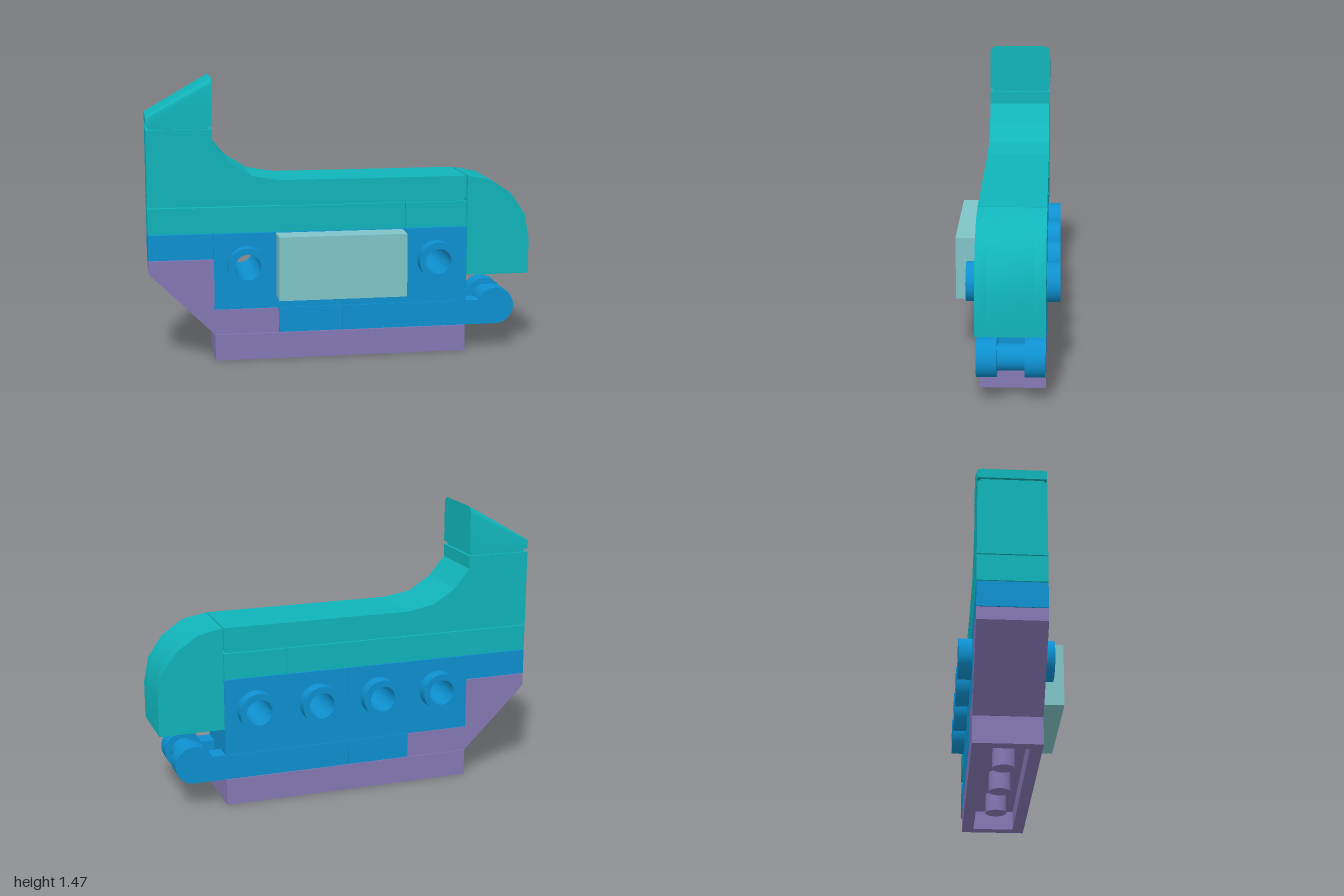
import * as THREE from 'three';
import { toCreasedNormals } from 'three/addons/utils/BufferGeometryUtils.js';

const Z0 = -0.2, Z1 = 0.133;          // back and front of the body
const mats = {
  teal: new THREE.MeshStandardMaterial({ color: 0x10b4ba }),
  blue: new THREE.MeshStandardMaterial({ color: 0x0d90d0 }),
  purple: new THREE.MeshStandardMaterial({ color: 0x8478b4 }),
  pale: new THREE.MeshStandardMaterial({ color: 0x7fc4c8 }),
};

export function createModel() {
  const model = new THREE.Group();

  const add = (name, geo, mat) => {
    const mesh = new THREE.Mesh(geo, mats[mat]);
    mesh.name = name;
    model.add(mesh);
    return mesh;
  };
  const box = (name, mat, x0, x1, y0, y1, z0 = Z0, z1 = Z1) => add(name,
    new THREE.BoxGeometry(x1 - x0, y1 - y0, z1 - z0)
      .translate((x0 + x1) / 2, (y0 + y1) / 2, (z0 + z1) / 2), mat);
  const shapeOf = pts => new THREE.Shape(pts.map(p => new THREE.Vector2(...p)));
  const extrude = (shape, z0 = Z0, z1 = Z1) =>
    new THREE.ExtrudeGeometry(shape, { depth: z1 - z0, bevelEnabled: false, curveSegments: 24 })
      .translate(0, 0, z0);
  const circleHole = (x, y, r) => new THREE.Path().absarc(x, y, r, 0, Math.PI * 2, true);
  const smooth = geo => toCreasedNormals(geo, 0.5);
  const rod = (name, mat, x, y, r, z0, z1) => add(name,
    new THREE.CylinderGeometry(r, r, z1 - z0, 32).rotateX(Math.PI / 2)
      .translate(x, y, (z0 + z1) / 2), mat);

  // Base plate, hollow underneath with three pins
  const rim = shapeOf([[-0.665, -Z1], [0.66, -Z1], [0.66, -Z0], [-0.665, -Z0]]);
  rim.holes.push(new THREE.Path([[-0.605, -0.073], [-0.605, 0.14], [0.6, 0.14], [0.6, -0.073]]
    .map(p => new THREE.Vector2(...p))));
  add('basePlateRim', extrude(rim, 0, 0.1).rotateX(-Math.PI / 2), 'purple');
  box('basePlateTop', 'purple', -0.665, 0.66, 0.1, 0.137);
  for (const x of [-0.333, 0, 0.333]) {
    add('basePin', new THREE.CylinderGeometry(0.055, 0.055, 0.1, 24)
      .translate(x, 0.052, (Z0 + Z1) / 2), 'purple');
  }

  // Inverted slope at the tail
  add('invertedSlope', extrude(shapeOf([[-1, 0.535], [-1, 0.47], [-0.667, 0.14],
    [-0.335, 0.14], [-0.335, 0.27], [-0.667, 0.27], [-0.667, 0.535]])), 'purple');
  box('tailPlate', 'blue', -1, -0.669, 0.538, 0.668);

  // Lower plates and the handle held by two round arms
  box('lowerPlate', 'blue', -0.333, -0.002, 0.14, 0.27);
  box('handlePlate', 'blue', 0.001, 0.66, 0.14, 0.27);
  const arm = new THREE.Shape();
  arm.moveTo(0.65, 0.14);
  arm.lineTo(0.825, 0.14);
  arm.absarc(0.825, 0.237, 0.098, -Math.PI / 2, Math.PI * 0.885, false);
  arm.lineTo(0.65, 0.272);
  for (const [z0, z1] of [[0.035, Z1], [Z0, -0.1]]) {
    add('handleArm', smooth(extrude(arm, z0, z1)), 'blue');
  }
  rod('handleBar', 'blue', 0.825, 0.237, 0.066, -0.11, 0.045);

  // Two middle bricks with holes through their side studs
  const holeR = 0.067, studY = 0.502;
  for (const side of [-1, 1]) {
    const xs = [side * 0.166, side * 0.498];
    const x0 = side < 0 ? -0.667 : 0.001, x1 = side < 0 ? -0.001 : 0.662;
    const brick = shapeOf([[x0, 0.272], [x1, 0.272], [x1, 0.668], [x0, 0.668]]);
    xs.forEach(x => brick.holes.push(circleHole(x, studY, holeR)));
    add('studBrick', smooth(extrude(brick)), 'blue');
    const stud = (name, x, z0, z1) => {
      const ring = new THREE.Shape().absarc(x, studY, 0.1, 0, Math.PI * 2, false);
      ring.holes.push(circleHole(x, studY, holeR));
      add(name, smooth(extrude(ring, z0, z1)), 'blue');
    };
    xs.forEach(x => stud('backStud', x, -0.267, Z0));
    stud('frontStud', xs[1], Z1, 0.2);
  }

  // Pale block on the front
  box('sideBlock', 'pale', -0.345, 0.317, 0.337, 0.667, Z1, 0.267);

  // Upper plates
  box('upperPlate', 'teal', -1, 0.331, 0.672, 0.806);
  box('upperPlateSmall', 'teal', 0.334, 0.66, 0.672, 0.806);

  // Top tile with a fine groove below
  box('topGroove', 'teal', -0.333, 0.645, 0.806, 0.825, Z0 + 0.015, Z1 - 0.015);
  box('topTile', 'teal', -0.333, 0.658, 0.823, 0.94);

  // Tail block with a concave curve
  add('tailCurve', extrude(shapeOf([[-1, 0.811], [-0.325, 0.811], [-0.325, 0.94], [-0.47, 0.965],
    [-0.585, 1.04], [-0.667, 1.14], [-0.667, 1.207], [-1, 1.207]])), 'teal');
  box('tailCapGroove', 'teal', -0.985, -0.682, 1.2, 1.23, Z0 + 0.015, Z1 - 0.015);

  // Wedge cap: rounded section run along x, lowered towards the tail
  const r = 0.035, base = 1.225, top = 1.467;
  const section = new THREE.Shape();
  section.moveTo(-Z1, base);
  section.lineTo(-Z0, base);
  section.absarc(-Z0 - r, top - r, r, 0, Math.PI / 2, false);
  section.absarc(-Z1 + r, top - r, r, Math.PI / 2, Math.PI, false);
  const wedge = new THREE.ExtrudeGeometry(section,
    { depth: 0.333, bevelEnabled: false, curveSegments: 6 }).rotateY(Math.PI / 2).translate(-1, 0, 0);
  const p = wedge.attributes.position;
  for (let i = 0; i < p.count; i++) {
    if (p.getX(i) < -0.9) p.setY(i, base + (p.getY(i) - base) * 0.2);
  }
  add('wedgeCap', smooth(wedge), 'teal');

  // Rounded nose, hollow underneath: two cheeks and an arched middle
  const curve = [[1, 0.6], [0.975, 0.73], [0.9, 0.84], [0.79, 0.915], [0.664, 0.94]];
  const cheek = shapeOf([[0.664, 0.41], [1, 0.41], ...curve]);
  const arch = shapeOf([[0.664, 0.41], [0.72, 0.41], [0.72, 0.78], [0.84, 0.76],
    [0.94, 0.6], [0.94, 0.41], [1, 0.41], ...curve]);
  add('noseCheek', smooth(extrude(cheek, Z1 - 0.055, Z1)), 'teal');
  add('noseCheek', smooth(extrude(cheek, Z0, Z0 + 0.055)), 'teal');
  add('noseShell', smooth(extrude(arch, Z0 + 0.055, Z1 - 0.055)), 'teal');

  return model;
}
